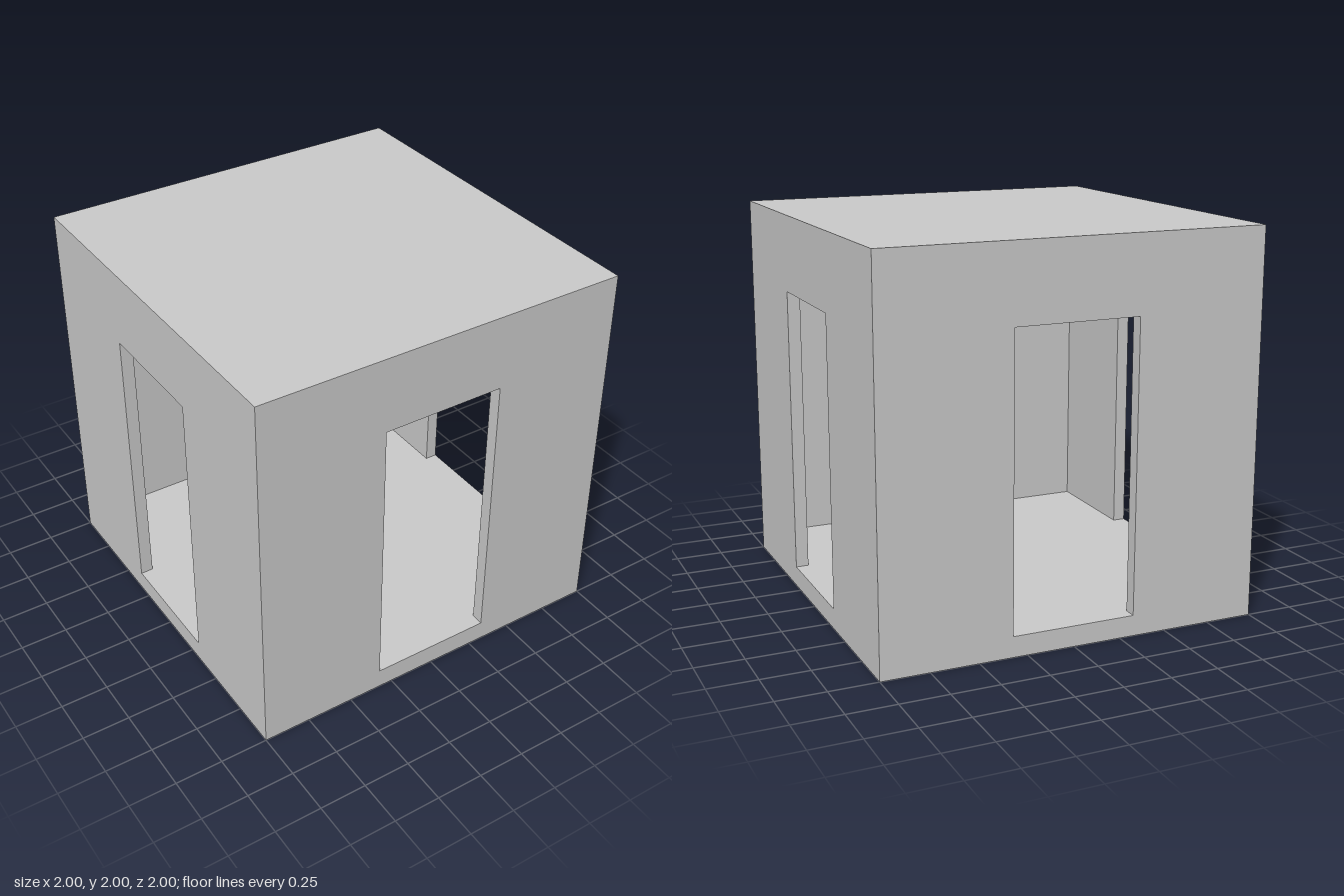
import * as THREE from 'three';
import { mergeGeometries } from 'three/addons/utils/BufferGeometryUtils.js';

const WALL = 0.067;            // wall thickness
const FLOOR = 0.107;           // floor top
const CEILING = 2 - FLOOR;     // ceiling underside
const DOOR = 0.324;            // half the doorway width
const LINTEL = 1.604;          // top of the doorway
const INNER = 1 - WALL;        // half the room width

const face = (points, hole) => {
  const shape = new THREE.Shape(points.map(([x, y]) => new THREE.Vector2(x, y)));
  if (hole) shape.holes.push(new THREE.Path(hole.map(([x, y]) => new THREE.Vector2(x, y))));
  return new THREE.ShapeGeometry(shape);
};

const square = (half) => new THREE.PlaneGeometry(half * 2, half * 2);

// One wall facing +z: outer skin, inner skin and the doorway reveals
function wallGeometry() {
  const outer = face(
    [[-1, 0], [1, 0], [1, 2], [-1, 2]],
    [[-DOOR, FLOOR], [-DOOR, LINTEL], [DOOR, LINTEL], [DOOR, FLOOR]]
  ).translate(0, 0, 1);

  const inner = face([
    [-INNER, FLOOR], [-DOOR, FLOOR], [-DOOR, LINTEL], [DOOR, LINTEL],
    [DOOR, FLOOR], [INNER, FLOOR], [INNER, CEILING], [-INNER, CEILING]
  ]).rotateY(Math.PI).translate(0, 0, INNER);

  const middle = 1 - WALL / 2;
  const jambs = [-1, 1].map((side) =>
    new THREE.PlaneGeometry(WALL, LINTEL - FLOOR)
      .rotateY(-side * Math.PI / 2)
      .translate(side * DOOR, (LINTEL + FLOOR) / 2, middle));
  const lintel = new THREE.PlaneGeometry(DOOR * 2, WALL)
    .rotateX(Math.PI / 2).translate(0, LINTEL, middle);

  return mergeGeometries([outer, inner, ...jambs, lintel]);
}

// Floor surface, running out through each doorway as a flush sill
function floorGeometry() {
  const points = [];
  for (let i = 0; i < 4; i++) {
    const c = [1, 0, -1, 0][i], s = [0, 1, 0, -1][i];
    for (const [x, y] of [[INNER, -DOOR], [1, -DOOR], [1, DOOR], [INNER, DOOR], [INNER, INNER]]) {
      points.push([x * c - y * s, x * s + y * c]);
    }
  }
  return face(points).rotateX(-Math.PI / 2).translate(0, FLOOR, 0);
}

export function createModel() {
  const group = new THREE.Group();
  group.name = 'room';
  const material = new THREE.MeshStandardMaterial({ color: 0xcccccc });
  const add = (name, geometry) => {
    const mesh = new THREE.Mesh(geometry, material);
    mesh.name = name;
    group.add(mesh);
  };

  // Four identical walls around the room
  add('walls', mergeGeometries(
    [0, 1, 2, 3].map((i) => wallGeometry().rotateY(i * Math.PI / 2))));

  // Floor slab: walking surface and underside
  add('floor', mergeGeometries([floorGeometry(), square(1).rotateX(Math.PI / 2)]));

  // Roof slab: top and ceiling
  add('roof', mergeGeometries([
    square(1).rotateX(-Math.PI / 2).translate(0, 2, 0),
    square(INNER).rotateX(Math.PI / 2).translate(0, CEILING, 0)
  ]));

  return group;
}
